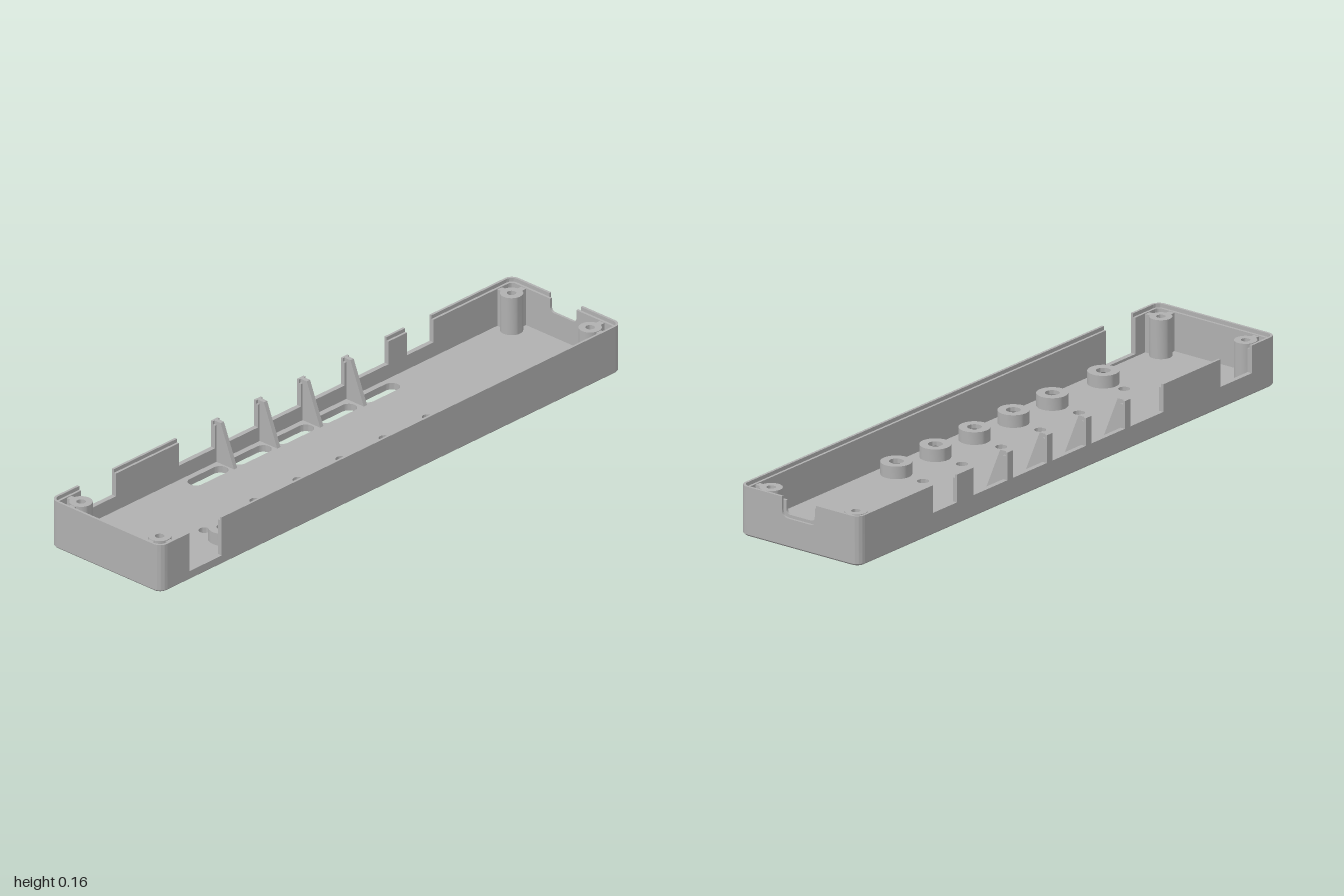
import * as THREE from 'three';
import { toCreasedNormals } from 'three/addons/utils/BufferGeometryUtils.js';

const W = 1, D = 0.228, TOP = 0.158, LIP = 0.146; // half width, half depth, rim and inner ledge heights
const FLOOR = 0.022, CHAMFER = 0.006, T = 0.008, R = 0.03; // T is one of the two wall layers
const RIBS = [-0.287, -0.1, 0.086, 0.275];
const BOSSES = [-0.64, -0.396, -0.21, -0.024, 0.163, 0.35];
const SLOTS = [-0.377, -0.19, -0.006, 0.18, 0.366];

// Rounded rectangle as points, counter-clockwise seen from above (y = -z)
function rounded(cx, cz, w, h, r, n = 8) {
  const pts = [];
  [[1, 1], [-1, 1], [-1, -1], [1, -1]].forEach(([sx, sy], k) => {
    for (let i = 0; i <= n; i++) {
      const a = (k + i / n) * Math.PI / 2;
      pts.push(new THREE.Vector2(
        cx + sx * (w / 2 - r) + r * Math.cos(a), -cz + sy * (h / 2 - r) + r * Math.sin(a)));
    }
  });
  return pts.filter((p, i) => p.distanceTo(pts[(i + 1) % pts.length]) > 1e-5);
}
const circle = (x, z, r) => rounded(x, z, 2 * r, 2 * r, r);

// Band between two loops: upward faces out, downward faces in
function band(loopA, yA, loopB, yB) {
  const pos = [], n = loopA.length;
  for (let i = 0; i < n; i++) {
    const j = (i + 1) % n;
    const a = [loopA[i].x, yA, -loopA[i].y], b = [loopA[j].x, yA, -loopA[j].y];
    const c = [loopB[j].x, yB, -loopB[j].y], d = [loopB[i].x, yB, -loopB[i].y];
    pos.push(...a, ...b, ...c, ...a, ...c, ...d);
  }
  const g = new THREE.BufferGeometry();
  g.setAttribute('position', new THREE.Float32BufferAttribute(pos, 3));
  g.computeVertexNormals();
  return toCreasedNormals(g, 0.6);
}

// Flat plate with holes, facing up
function plate(outline, holes) {
  const s = new THREE.Shape(outline);
  s.holes = holes.map(h => new THREE.Path(h));
  return new THREE.ShapeGeometry(s).rotateX(-Math.PI / 2);
}

// Upright wall layer with notches [x0, x1, bottom, radius] cut from its top
function wallLayer(half, top, notches) {
  const s = new THREE.Shape();
  s.moveTo(-half, CHAMFER);
  s.lineTo(half, CHAMFER);
  s.lineTo(half, top);
  for (const [x0, x1, b, r] of [...notches].sort((p, q) => q[0] - p[0])) {
    s.lineTo(x1, top);
    if (r) {
      s.lineTo(x1, b + r);
      s.quadraticCurveTo(x1, b, x1 - r, b);
      s.lineTo(x0 + r, b);
      s.quadraticCurveTo(x0, b, x0, b + r);
    } else {
      s.lineTo(x1, b);
      s.lineTo(x0, b);
    }
    s.lineTo(x0, top);
  }
  s.lineTo(-half, top);
  return new THREE.ExtrudeGeometry(s, { depth: T, bevelEnabled: false, curveSegments: 8 });
}

const lathe = pts => toCreasedNormals(
  new THREE.LatheGeometry(pts.map(p => new THREE.Vector2(...p)), 32), 0.6);

export function createModel() {
  const model = new THREE.Group();
  const grey = new THREE.MeshStandardMaterial({ color: 0xb0b0b0, side: THREE.DoubleSide });
  grey.name = 'grey plastic';
  const add = (name, geo, x = 0, y = 0, z = 0, ry = 0) => {
    const m = new THREE.Mesh(geo, grey);
    m.name = name;
    m.position.set(x, y, z);
    m.rotation.y = ry;
    model.add(m);
    return m;
  };

  // Floor: top and underside, chamfered edge, lined slots and small holes
  const full = rounded(0, 0, 2 * W, 2 * D, R);
  const inset = rounded(0, 0, 2 * (W - CHAMFER), 2 * (D - CHAMFER), R - CHAMFER);
  const through = [
    ...SLOTS.map(x => rounded(x, -0.168, 0.155, 0.05, 0.025)),
    ...BOSSES.map((x, i) => circle(x, i ? 0.045 : 0.067, 0.018)),
  ];
  add('floorTop', plate(inset, [...through, ...BOSSES.map(x => circle(x, 0.147, 0.045))]), 0, FLOOR);
  const under = plate(inset, [...through, ...BOSSES.map(x => circle(x, 0.147, 0.058))]);
  under.rotateX(Math.PI).scale(1, 1, 1);
  // turned over about x, so mirror back in z while keeping the winding downward
  const p = under.attributes.position, idx = under.index.array;
  for (let i = 0; i < p.count; i++) p.setZ(i, -p.getZ(i));
  for (let i = 0; i < idx.length; i += 3) [idx[i], idx[i + 1]] = [idx[i + 1], idx[i]];
  // a half turn plus a mirror leaves the corners reversed, so the swap faces them down
  add('floorUnderside', under);
  add('floorChamfer', band(inset, 0, full, CHAMFER));
  through.forEach(h => add('holeLining', band(h, FLOOR, h, 0)));

  // Raised bosses, countersunk from below
  const boss = lathe([[0.048, FLOOR], [0.048, 0.062], [0.022, 0.062], [0.022, 0.048], [0.058, 0]]);
  BOSSES.forEach(x => add('boss', boss, x, 0, 0.147));

  // Walls: outer layer reaches the rim, inner layer stops at the ledge
  const frontNotches = [[-0.875, -0.735, 0.03]];
  const backNotches = [[-0.88, -0.73, 0.07], [0.53, 0.645, 0.07]];
  const stops = [-0.457, ...RIBS.flatMap(x => [x - 0.014, x + 0.014]), 0.45];
  for (let i = 0; i < stops.length; i += 2) backNotches.push([stops[i], stops[i + 1], 0.07]);
  const portNotches = [[[-0.065, 0.065, 0.093, 0.025]], [[-0.054, 0.054, 0.103, 0.016]]];
  [TOP, LIP].forEach((top, k) => {
    add('frontWall', wallLayer(W - R, top, frontNotches), 0, 0, D - T * (k + 1));
    add('backWall', wallLayer(W - R, top, backNotches), 0, 0, -D + T * k);
    add('leftWall', wallLayer(D - R, top, portNotches[k]), W - T * (k + 1), 0, 0, Math.PI / 2);
    add('rightWall', wallLayer(D - R, top, []), -W + T * k, 0, 0, Math.PI / 2);

    // Rounded corners
    [[1, 1], [-1, 1], [-1, -1], [1, -1]].forEach(([sx, sy], q) => {
      const s = new THREE.Shape(), a = q * Math.PI / 2, b = a + Math.PI / 2;
      const cx = sx * (W - R), cy = sy * (D - R);
      s.absarc(cx, cy, R - T * k, a, b, false);
      s.absarc(cx, cy, R - T * (k + 1), b, a, true);
      const g = new THREE.ExtrudeGeometry(s, { depth: top - CHAMFER, bevelEnabled: false, curveSegments: 8 });
      add('wallCorner', toCreasedNormals(g.rotateX(-Math.PI / 2), 0.6), 0, CHAMFER, 0);
    });
  });

  // Screw posts with blind holes, tied to the walls by short webs
  const post = lathe([[0.035, FLOOR], [0.035, LIP], [0.014, LIP], [0.014, 0.05], [0, 0.05]]);
  const h = LIP - FLOOR - 0.002, y = FLOOR + h / 2;
  for (const sx of [-1, 1]) for (const z of [-0.163, 0.16]) {
    const x = sx * 0.932, sz = Math.sign(z);
    add('screwPost', post, x, 0, z);
    add('postWeb', new THREE.BoxGeometry(0.03, h, 0.02), x + sx * 0.043, y, z);
    add('postWeb', new THREE.BoxGeometry(0.02, h, 0.03), x, y, z + sz * 0.043);
  }

  // Tapered ribs along the back wall
  const rib = new THREE.Shape([[-0.22, FLOOR], [-0.14, FLOOR], [-0.195, TOP], [-0.22, TOP]]
    .map(q => new THREE.Vector2(...q)));
  const ribGeo = new THREE.ExtrudeGeometry(rib, { depth: 0.014, bevelEnabled: false });
  RIBS.forEach(x => add('rib', ribGeo, x + 0.007, 0, 0, -Math.PI / 2));

  return model;
}
